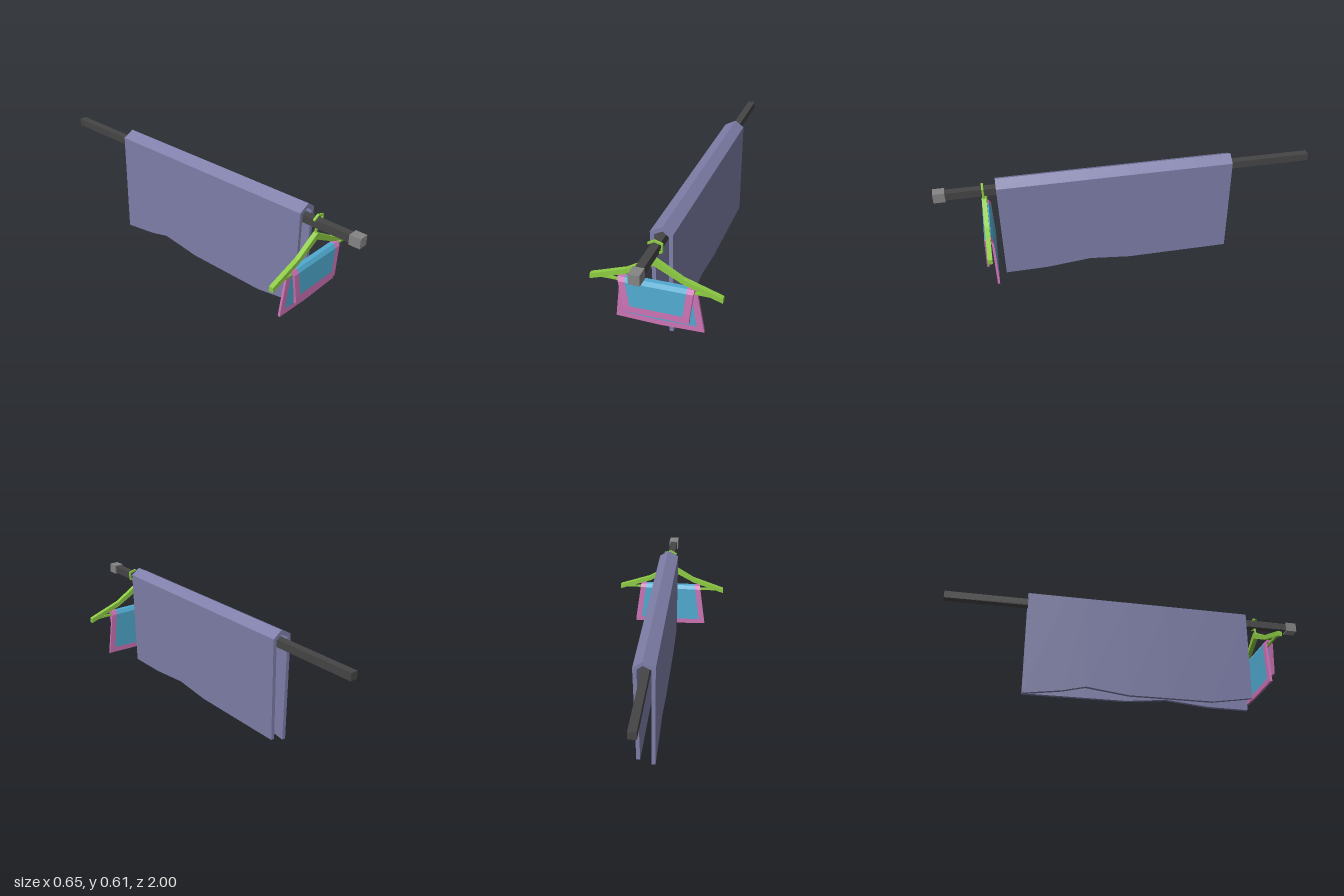
import * as THREE from 'three';

const mat = (color) => new THREE.MeshStandardMaterial({ color, flatShading: true });

function mesh(name, geometry, material, x = 0, y = 0, z = 0) {
  const m = new THREE.Mesh(geometry, material);
  m.name = name;
  m.position.set(x, y, z);
  return m;
}

// Thick cloth from two grids of points; keep(i, j) picks the cells to build
function cloth(rows, cols, outer, inner, keep = () => true) {
  const pos = [];
  const quad = (a, b, c, d) => pos.push(...a, ...b, ...c, ...a, ...c, ...d);
  for (let i = 0; i < rows - 1; i++) {
    for (let j = 0; j < cols - 1; j++) {
      if (!keep(i, j)) continue;
      const corners = [[i, j], [i, j + 1], [i + 1, j + 1], [i + 1, j]];
      const [a, b, c, d] = corners.map(([r, s]) => outer(r, s));
      const [e, f, g, h] = corners.map(([r, s]) => inner(r, s));
      quad(a, b, c, d);
      quad(e, h, g, f);
      if (i === 0) quad(b, a, e, f);
      if (i === rows - 2) quad(d, c, g, h);
      if (j === 0) quad(a, d, h, e);
      if (j === cols - 2) quad(c, b, f, g);
    }
  }
  const geo = new THREE.BufferGeometry();
  geo.setAttribute('position', new THREE.Float32BufferAttribute(pos, 3));
  geo.computeVertexNormals();
  return geo;
}

// Blanket folded over the rail, with uneven hems
function makeBlanket() {
  const z = [-0.555, -0.35, -0.23, 0, 0.22, 0.46, 0.685];
  const leftHem = [0, 0.03, 0.06, 0.03, 0.03, 0.03, 0.067];
  const rightHem = [0.027, 0.027, 0.027, 0.027, 0.05, 0.027, 0.025];
  const out = [[-0.04, 0], [-0.043, 0.58], [0.018, 0.612], [0.067, 0.577], [0.057, 0]];
  const inn = [[-0.02, 0], [-0.023, 0.568], [0.018, 0.59], [0.047, 0.566], [0.037, 0]];
  const point = (profile) => (i, j) => {
    const y = i === 0 ? leftHem[j] : i === 4 ? rightHem[j] : profile[i][1];
    return [profile[i][0], y, z[j]];
  };
  return mesh('blanket', cloth(5, z.length, point(out), point(inn)), mat(0x7f7faa));
}

// Towel folded over the hanger bar: blue middle with a pink border
function makeTowel() {
  // outer y, z, inner y, z, half width, half width of the blue field
  const rows = [
    [0.100, 0.722, 0.100, 0.734, 0.222, 0.184],
    [0.130, 0.722, 0.130, 0.734, 0.218, 0.184],
    [0.337, 0.726, 0.334, 0.738, 0.189, 0.157],
    [0.358, 0.738, 0.345, 0.743, 0.186, 0.151],
    [0.358, 0.762, 0.345, 0.757, 0.186, 0.151],
    [0.337, 0.774, 0.334, 0.762, 0.183, 0.149],
    [0.207, 0.778, 0.207, 0.766, 0.165, 0.131],
    [0.170, 0.778, 0.168, 0.766, 0.161, 0.131],
  ];
  const point = (k) => (i, j) => {
    const r = rows[i];
    const x = [r[4], r[5], 0, -r[5], -r[4]][j];
    const sag = i < 2 ? 0.007 * (1 - Math.abs(x) / r[4]) : 0;
    return [x + 0.006, r[k] - sag, r[k + 1]];
  };
  const isField = (i, j) => i > 0 && i < rows.length - 2 && (j === 1 || j === 2);
  const build = (keep) => cloth(rows.length, 5, point(0), point(2), keep);
  const group = new THREE.Group();
  group.name = 'towel';
  group.add(mesh('towelField', build(isField), mat(0x50aad0)));
  group.add(mesh('towelBorder', build((i, j) => !isField(i, j)), mat(0xcc74b6)));
  return group;
}

// Hanger with sloping arms, a thin lower bar and an angular hook
function makeHanger() {
  const green = mat(0x8ecc44);
  const group = new THREE.Group();
  group.name = 'hanger';
  const top = [[0, 0.49], [0.139, 0.406], [0.324, 0.342]];
  const bottom = [[0.324, 0.315], [0.139, 0.379], [0, 0.453]];
  const right = [...top, ...bottom];
  const left = right.slice(1, 5).reverse().map(([x, y]) => [-x, y]);
  const shape = new THREE.Shape([...right, ...left].map(([x, y]) => new THREE.Vector2(x, y)));
  const arms = new THREE.ExtrudeGeometry(shape, { depth: 0.024, bevelEnabled: false });
  group.add(mesh('hangerArms', arms, green, 0, 0, 0.74));
  group.add(mesh('hangerBar', new THREE.BoxGeometry(0.57, 0.011, 0.011), green, 0, 0.334, 0.75));

  const path = [[0, 0.48], [0, 0.513], [0.039, 0.528], [0.041, 0.569], [0.005, 0.58], [-0.025, 0.563]];
  for (let i = 0; i < path.length - 1; i++) {
    const [[x0, y0], [x1, y1]] = [path[i], path[i + 1]];
    const length = Math.hypot(x1 - x0, y1 - y0) + 0.004;
    const link = mesh('hook', new THREE.BoxGeometry(length, 0.009, 0.011), green,
      (x0 + x1) / 2, (y0 + y1) / 2, 0.752);
    link.rotation.z = Math.atan2(y1 - y0, x1 - x0);
    group.add(link);
  }
  return group;
}

export function createModel() {
  const model = new THREE.Group();
  model.name = 'hangingRail';
  // Square rail with an end cap
  model.add(mesh('rail', new THREE.BoxGeometry(0.04, 0.04, 1.94), mat(0x454545), 0.006, 0.54, -0.03));
  model.add(mesh('railCap', new THREE.BoxGeometry(0.053, 0.052, 0.06), mat(0x858585), 0.006, 0.54, 0.97));
  model.add(makeBlanket(), makeHanger(), makeTowel());
  return model;
}
